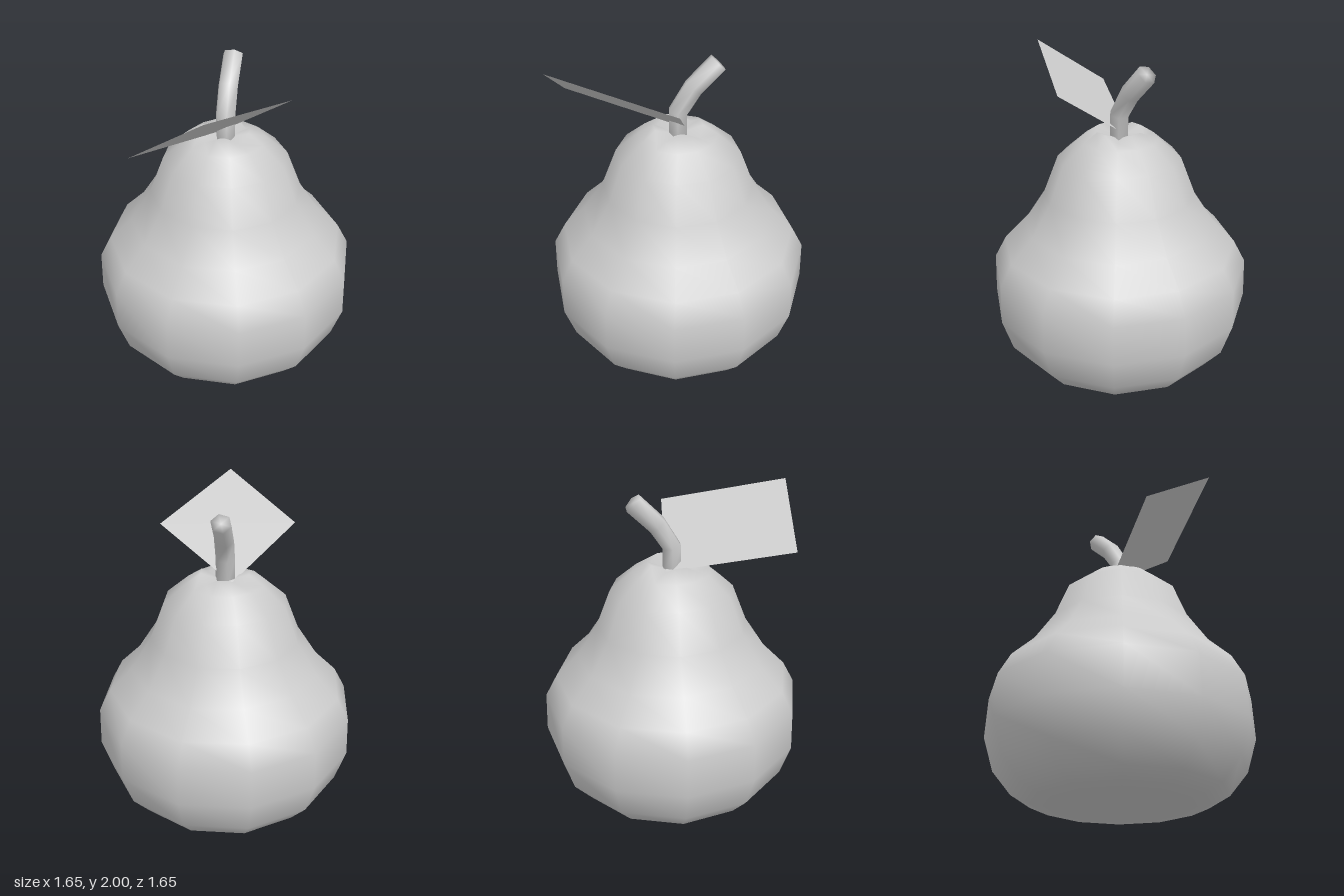
import * as THREE from 'three';
import { mergeVertices } from 'three/addons/utils/BufferGeometryUtils.js';

// Weld seams so the low-poly form shades smoothly
function weld(geometry) {
  geometry.deleteAttribute('uv');
  geometry.deleteAttribute('normal');
  const welded = mergeVertices(geometry, 1e-4);
  welded.computeVertexNormals();
  return welded;
}

export function createModel() {
  const model = new THREE.Group();
  const grey = new THREE.MeshStandardMaterial({ color: 0xcccccc });
  const add = (name, geometry, material = grey) => {
    const mesh = new THREE.Mesh(geometry, material);
    mesh.name = name;
    model.add(mesh);
  };

  // Fruit body: twelve-sided lathe from base to the dimple at the top
  const profile = [
    [0, 0.005], [0.51, 0.03], [0.645, 0.09], [0.76, 0.23], [0.825, 0.44],
    [0.815, 0.69], [0.74, 0.83], [0.6, 0.97], [0.47, 1.17], [0.38, 1.4],
    [0.24, 1.52], [0.15, 1.58], [0, 1.52],
  ].map(([r, y]) => new THREE.Vector2(r, y));
  const body = new THREE.LatheGeometry(profile, 12);
  const pos = body.attributes.position;
  // Notch the top rim on the four axes, leaving four soft lobes
  for (let i = 0; i < pos.count; i++) {
    const onAxis = Math.min(Math.abs(pos.getX(i)), Math.abs(pos.getZ(i))) < 0.01;
    if (Math.abs(pos.getY(i) - 1.58) < 0.001 && onAxis) pos.setY(i, 1.535);
  }
  add('fruitBody', weld(body));

  // Stem: six-sided cylinder whose rings are tilted and moved along a bend
  const rings = [
    { at: [0, 1.5, 0], tilt: 0 },
    { at: [0, 1.67, 0], tilt: 0.2 },
    { at: [-0.065, 1.815, -0.065], tilt: 0.66 },
    { at: [-0.163, 1.957, -0.17], tilt: 0.79 },
  ];
  const stem = new THREE.CylinderGeometry(0.062, 0.062, 3, 6, 3);
  const bendAxis = new THREE.Vector3(-1, 0, 1).normalize();
  const p = new THREE.Vector3();
  const stemPos = stem.attributes.position;
  for (let i = 0; i < stemPos.count; i++) {
    p.fromBufferAttribute(stemPos, i);
    const ring = rings[Math.round(p.y + 1.5)];
    p.setY(0).applyAxisAngle(bendAxis, ring.tilt).add(new THREE.Vector3(...ring.at));
    stemPos.setXYZ(i, p.x, p.y, p.z);
  }
  add('stem', weld(stem));

  // Leaf: a single flat card rising from the stem base
  const leaf = new THREE.BufferGeometry();
  leaf.setAttribute('position', new THREE.Float32BufferAttribute([
    0.34, 1.84, -0.22,
    -0.07, 1.53, -0.01,
    0.14, 1.69, 0.73,
    0.55, 2.0, 0.52,
  ], 3));
  leaf.setIndex([0, 1, 2, 0, 2, 3]);
  leaf.computeVertexNormals();
  add('leaf', leaf, new THREE.MeshStandardMaterial({ color: 0xcccccc, side: THREE.DoubleSide }));

  return model;
}
